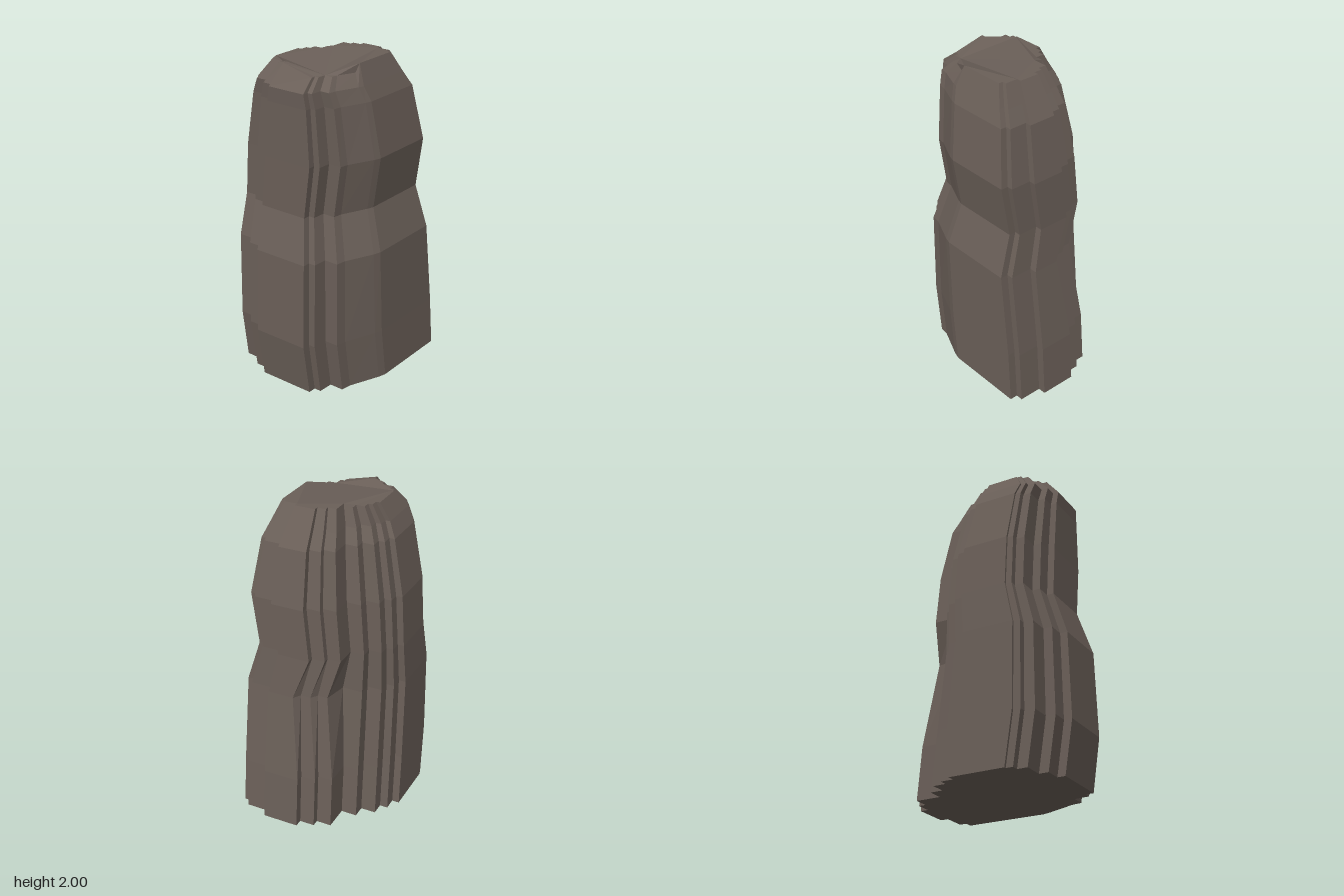
import * as THREE from 'three';

// Stepped footprint, clockwise from above: [x, z, extra z shift at the bulge]
const OUTLINE = [
  [-0.29, -0.45], [0.06, -0.45], [0.06, -0.405], [0.14, -0.405], [0.14, -0.355],
  [0.22, -0.355], [0.22, -0.26], [0.30, -0.26], [0.30, -0.16, 0.03], [0.46, -0.16, 0.06],
  [0.46, -0.065, 0.03], [0.505, -0.065, 0.06], [0.505, 0.03, 0.03], [0.555, 0.03, 0.06],
  [0.555, 0.26], [0.505, 0.26], [0.505, 0.405], [0.46, 0.405], [0.46, 0.455],
  [-0.06, 0.455], [-0.11, 0.44], [-0.30, 0.36], [-0.365, 0.35], [-0.365, 0.26],
  [-0.46, 0.255], [-0.46, 0.21], [-0.51, 0.21], [-0.51, -0.155], [-0.46, -0.155],
  [-0.46, -0.26], [-0.40, -0.26], [-0.40, -0.39], [-0.335, -0.39], [-0.335, -0.435], [-0.29, -0.435],
];

// Height and bounds of each layer: [y, left, right, back, front, bulge]
const LEVELS = [
  [0, -0.51, 0.555, -0.45, 0.455, 0],
  [0.33, -0.56, 0.53, -0.445, 0.45, 0],
  [0.87, -0.545, 0.455, -0.44, 0.445, 1],
  [1.13, -0.47, 0.43, -0.43, 0.365, 0],
  [1.45, -0.47, 0.42, -0.41, 0.415, 0],
  [1.79, -0.475, 0.355, -0.335, 0.365, 0],
  [1.88, -0.48, 0.30, -0.29, 0.33, 0],
  [2.0, -0.385, 0.225, -0.225, 0.283, 0],
];

// Fit the footprint into the bounds of one layer
function ring([y, left, right, back, front, bulge], isTop) {
  return OUTLINE.map(([px, pz, shift = 0]) => {
    const u = (px + 0.51) / 1.065, v = (pz + 0.45) / 0.905;
    const x = left + u * (right - left);
    const z = back + v * (front - back) + shift * bulge;
    // The front left of the crown is worn down, its back edge slightly so
    let drop = 0;
    if (isTop && u < 0.38 && v > 0.7) drop = 0.05;
    else if (isTop && v < 0.3) drop = 0.015;
    return new THREE.Vector3(x, y - drop, z);
  });
}

// Close a ring with triangles facing up (+1) or down (-1)
function capFaces(points, offset, facing) {
  const flat = points.map((p) => new THREE.Vector2(p.x, p.z));
  return THREE.ShapeUtils.triangulateShape(flat, []).flatMap(([a, b, c]) => {
    const ab = flat[b].clone().sub(flat[a]);
    const ac = flat[c].clone().sub(flat[a]);
    const up = -ab.cross(ac);
    return (up * facing > 0 ? [a, b, c] : [a, c, b]).map((i) => i + offset);
  });
}

function rockGeometry() {
  const last = LEVELS.length - 1, n = OUTLINE.length;
  const rings = LEVELS.map((level, i) => ring(level, i === last));
  const index = [];
  for (let r = 0; r < last; r++) {
    for (let i = 0; i < n; i++) {
      const j = (i + 1) % n;
      const a = r * n + i, b = r * n + j;
      index.push(a, a + n, b, b, a + n, b + n);
    }
  }
  index.push(...capFaces(rings[0], 0, -1), ...capFaces(rings[last], last * n, 1));
  const indexed = new THREE.BufferGeometry().setFromPoints(rings.flat());
  indexed.setIndex(index);
  const geometry = indexed.toNonIndexed();
  geometry.computeVertexNormals();
  return geometry;
}

export function createModel() {
  const stone = new THREE.MeshStandardMaterial({ color: 0x6a5f58, flatShading: true });
  stone.name = 'brown stone';
  const rock = new THREE.Mesh(rockGeometry(), stone);
  rock.name = 'rockColumn';
  const group = new THREE.Group();
  group.name = 'rockPillar';
  group.add(rock);
  return group;
}
